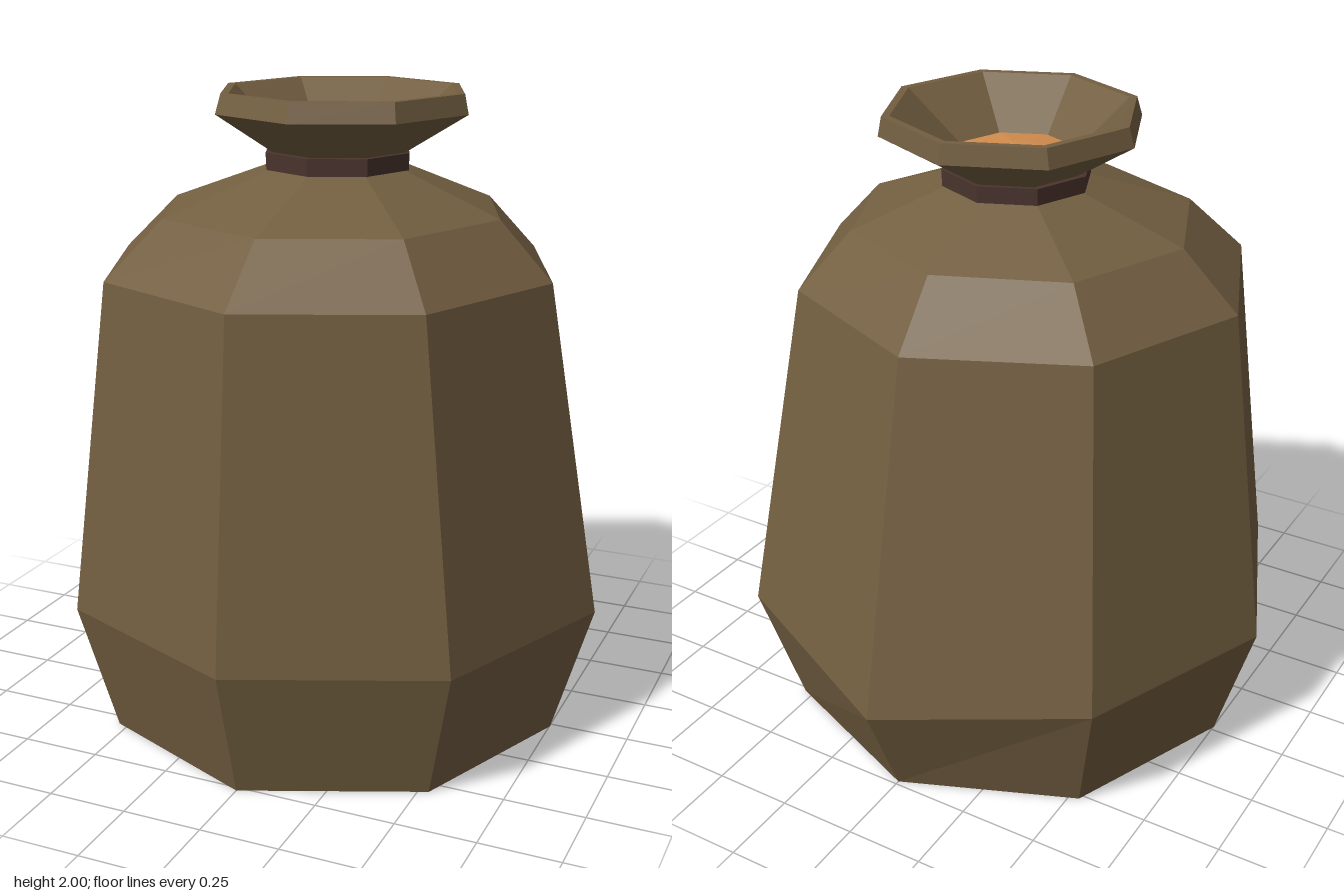
import * as THREE from 'three';

const SIDES = 8;

// Flat-shaded loft through octagonal rings [y, radius, centreX, centreZ].
// tweak(point, ringIndex, sideIndex) may move single corners.
function loft(rings, tweak = () => {}) {
  const corner = (ring, side) => {
    const [y, r, cx, cz] = rings[ring];
    const a = ((side % SIDES) / SIDES) * Math.PI * 2;
    const p = new THREE.Vector3(cx + r * Math.sin(a), y, cz + r * Math.cos(a));
    tweak(p, ring, side % SIDES);
    return p;
  };
  const points = [];
  for (let k = 0; k < rings.length - 1; k++) {
    for (let i = 0; i < SIDES; i++) {
      const a = corner(k, i), b = corner(k, i + 1);
      const c = corner(k + 1, i + 1), d = corner(k + 1, i);
      if (rings[k][1] > 0) points.push(a, b, c);
      if (rings[k + 1][1] > 0) points.push(a, c, d);
    }
  }
  const geometry = new THREE.BufferGeometry().setFromPoints(points);
  geometry.computeVertexNormals();
  return geometry;
}

export function createModel() {
  const cloth = new THREE.MeshStandardMaterial({ color: 0x735f41 });
  cloth.name = 'brown cloth';
  const cord = new THREE.MeshStandardMaterial({ color: 0x4a342d });
  cord.name = 'dark cord';
  const grain = new THREE.MeshStandardMaterial({ color: 0xd48e4f });
  grain.name = 'orange filling';

  const group = new THREE.Group();
  group.name = 'sack';
  const add = (name, geometry, material) => {
    const mesh = new THREE.Mesh(geometry, material);
    mesh.name = name;
    group.add(mesh);
  };

  // Sack body with closed base; the back corner of the belly sags a little
  add('body', loft([
    [0, 0, 0, 0.015],
    [0, 0.752, 0, 0.015],
    [0.42, 0.877, 0, 0.005],
    [1.47, 0.715, 0.003, 0.07],
    [1.645, 0.54, 0.01, 0.065],
    [1.775, 0.2, 0.017, 0.035],
  ], (p, ring, side) => {
    if (side !== SIDES / 2) return;
    if (ring === 2) p.set(0, 0.35, -0.885);
    if (ring === 3) p.y = 1.46;
  }), cloth);

  // Cord tied around the neck
  add('neckCord', loft([
    [1.768, 0.15, 0.016, 0.034],
    [1.768, 0.232, 0.016, 0.034],
    [1.82, 0.234, 0.016, 0.034],
    [1.822, 0.15, 0.016, 0.034],
  ]), cord);

  // Flared mouth: outside, rim and inside wall
  add('mouth', loft([
    [1.81, 0.2, 0.018, 0.03],
    [1.94, 0.405, 0.023, 0.017],
    [2.0, 0.39, 0.024, 0.013],
    [2.0, 0.365, 0.024, 0.013],
    [1.84, 0.185, 0.018, 0.028],
  ]), cloth);

  // Shallow heap of filling inside the mouth
  add('filling', loft([
    [1.84, 0.193, 0.018, 0.028],
    [1.855, 0.19, 0.018, 0.028],
    [1.87, 0.07, 0.018, 0.03],
    [1.875, 0, 0.018, 0.03],
  ]), grain);

  return group;
}
